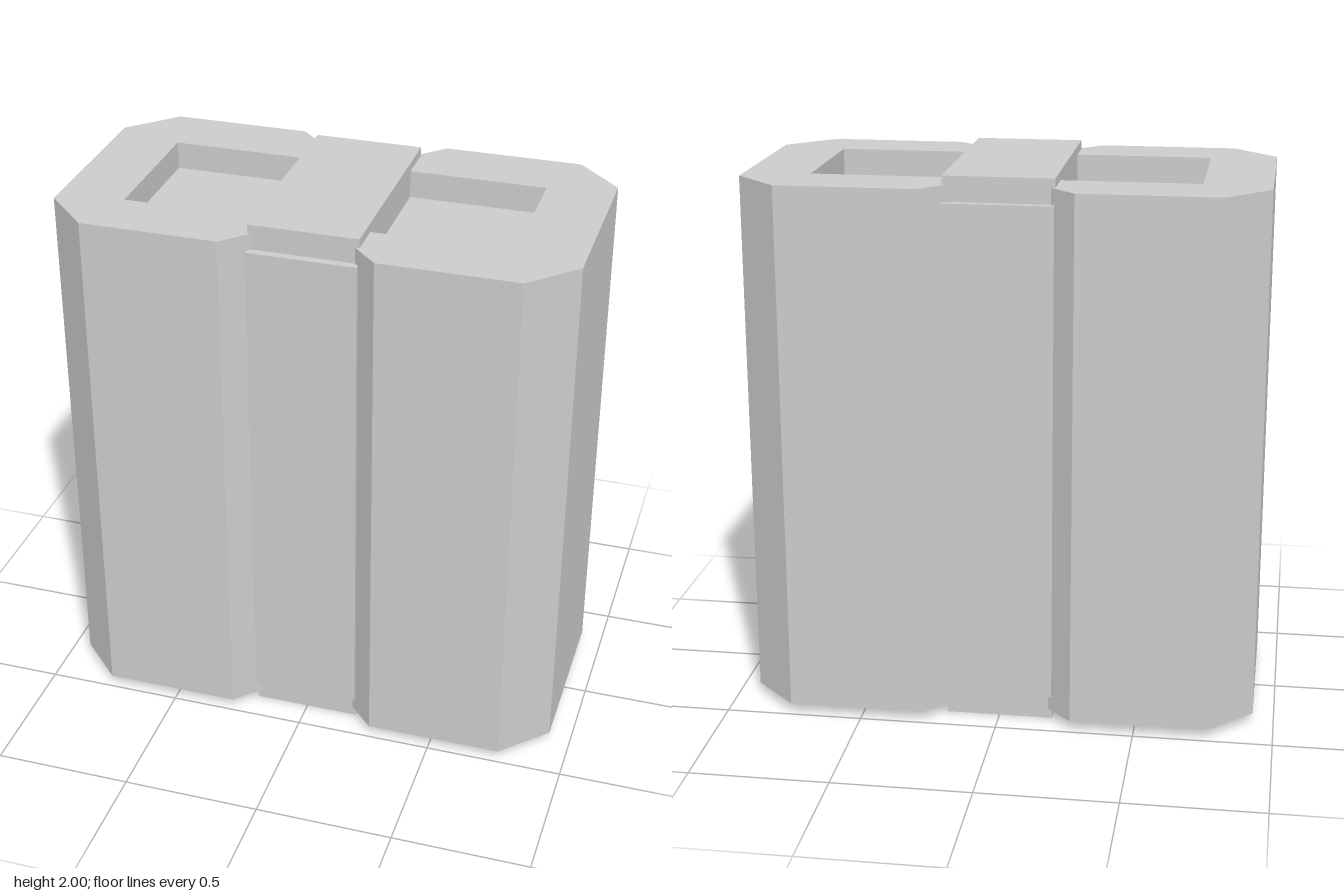
import * as THREE from 'three';

const material = new THREE.MeshStandardMaterial({ color: 0xcccccc, flatShading: true });

function add(parent, name, geometry, x = 0, y = 0, z = 0) {
  const mesh = new THREE.Mesh(geometry, material);
  mesh.name = name;
  mesh.position.set(x, y, z);
  parent.add(mesh);
  return mesh;
}

// Chamfered block with a rectangular pocket in each end
function makeBlock(side) {
  const block = new THREE.Group();
  block.name = side > 0 ? 'leftBlock' : 'rightBlock';
  const inner = 0.11, outer = 0.924, depth = 0.484, cut = 0.16;
  const bottom = 0.035, height = 1.933, pocketDepth = 0.1;
  const pocket = { x0: 0.17, x1: 0.686, z0: -0.25, z1: 0.266 };
  const points = (list) => list.map(([x, z]) => new THREE.Vector2(side * x, -z));

  // Octagonal outline seen from above
  const outline = new THREE.Shape(points([
    [inner + cut, depth], [outer - cut, depth], [outer, depth - cut], [outer, cut - depth],
    [outer - cut, -depth], [inner + cut, -depth], [inner, cut - depth], [inner, depth - cut],
  ]));
  outline.holes.push(new THREE.Path(points([
    [pocket.x0, pocket.z0], [pocket.x1, pocket.z0], [pocket.x1, pocket.z1], [pocket.x0, pocket.z1],
  ])));
  const shell = new THREE.ExtrudeGeometry(outline, { depth: height, bevelEnabled: false });
  shell.rotateX(-Math.PI / 2);
  add(block, 'blockShell', shell, 0, bottom, 0);

  // Solid core whose ends are the pocket floors
  add(block, 'pocketFloors',
    new THREE.BoxGeometry(pocket.x1 - pocket.x0, height - 2 * pocketDepth, pocket.z1 - pocket.z0),
    side * (pocket.x0 + pocket.x1) / 2, bottom + height / 2, (pocket.z0 + pocket.z1) / 2);
  return block;
}

export function createModel() {
  const model = new THREE.Group();
  model.name = 'twinBlock';
  for (const side of [-1, 1]) model.add(makeBlock(side));

  // Central bar joining the two blocks
  const width = 0.39, barDepth = 0.394, panelDepth = 0.424;
  add(model, 'centreBar', new THREE.BoxGeometry(width, 2, 2 * barDepth), 0, 1, 0);

  // Raised panels on the front and back of the bar
  for (const side of [-1, 1]) {
    add(model, side > 0 ? 'frontPanel' : 'backPanel',
      new THREE.BoxGeometry(width, 1.815, panelDepth - barDepth),
      0, 1.0025, side * (barDepth + panelDepth) / 2);
  }
  return model;
}
